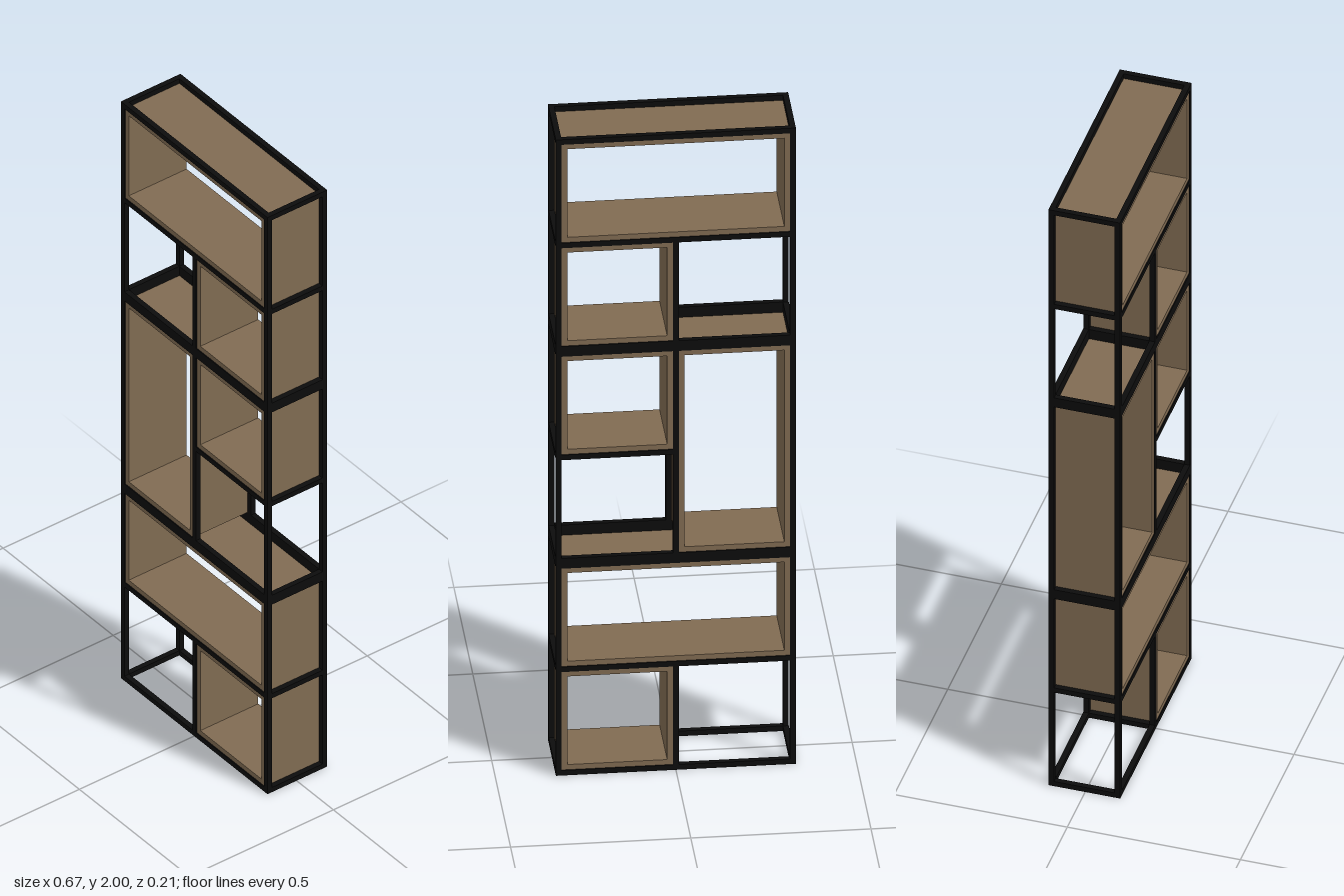
import * as THREE from 'three';

const W = 0.333, BACK = -0.106, FRONT = 0.101; // overall half width and depth limits
const T = 0.016;                               // square bar thickness
const WALL = 0.016;                            // wooden board thickness
const MODULE = 2 / 3;

const metal = new THREE.MeshStandardMaterial({ name: 'black metal', color: 0x0c0c0c });
const wood = new THREE.MeshStandardMaterial({ name: 'brown wood', color: 0x806b52 });

// Box given by its opposite corners
function block(parent, name, material, x0, x1, y0, y1, z0, z1) {
  const mesh = new THREE.Mesh(new THREE.BoxGeometry(x1 - x0, y1 - y0, z1 - z0), material);
  mesh.position.set((x0 + x1) / 2, (y0 + y1) / 2, (z0 + z1) / 2);
  mesh.name = name;
  parent.add(mesh);
}

// Pair of bars, one at the back and one at the front
function barPair(parent, name, x0, x1, y0, y1) {
  block(parent, name + 'Back', metal, x0, x1, y0, y1, BACK, BACK + T);
  block(parent, name + 'Front', metal, x0, x1, y0, y1, FRONT - T, FRONT);
}

// Horizontal rails around one level, joined by depth bars at the given x positions
function level(parent, name, x0, x1, y, depthBars) {
  barPair(parent, name + 'Rail', x0, x1, y, y + T);
  for (const x of depthBars)
    block(parent, name + 'DepthBar', metal, x, x + T, y, y + T, BACK + T, FRONT - T);
}

// Wooden sleeve, open at the front and the back
function sleeve(parent, x0, x1, y0, y1) {
  const shape = new THREE.Shape();
  shape.moveTo(x0, y0).lineTo(x1, y0).lineTo(x1, y1).lineTo(x0, y1).closePath();
  const hole = new THREE.Path();
  const a = x0 + WALL, b = x1 - WALL, c = y0 + WALL, d = y1 - WALL;
  hole.moveTo(a, c).lineTo(a, d).lineTo(b, d).lineTo(b, c).closePath();
  shape.holes.push(hole);
  const z0 = BACK + 0.003, z1 = FRONT - 0.003;
  const geometry = new THREE.ExtrudeGeometry(shape, { depth: z1 - z0, bevelEnabled: false });
  geometry.translate(0, 0, z0);
  const mesh = new THREE.Mesh(geometry, wood);
  mesh.name = 'woodenBox';
  parent.add(mesh);
}

export function createModel() {
  const model = new THREE.Group();
  model.name = 'shelvingUnit';
  const left = -W, right = W - T, mid = -T / 2;
  const inL = -W + T, inR = W - T, h = T / 2;

  for (let i = 0; i < 3; i++) {
    const module = new THREE.Group();
    module.name = ['lowerModule', 'middleModule', 'upperModule'][i];
    module.position.y = i * MODULE;
    model.add(module);

    const tall = i === 1;
    const midY = MODULE / 2 - h, topY = MODULE - T;

    // Outer frame
    level(module, 'bottom', -W, W, 0, tall ? [left, right] : [left, mid, right]);
    level(module, 'top', -W, W, topY, tall ? [left, mid, right] : [left, right]);
    barPair(module, 'leftPost', left, left + T, T, topY);
    barPair(module, 'rightPost', right, W, T, topY);

    // Inner divisions and wooden boxes
    if (tall) {
      barPair(module, 'middlePost', mid, mid + T, T, topY);
      level(module, 'middle', h, inR, midY, [mid]);
      block(module, 'middleDepthBar', metal, right, W, midY, midY + T, BACK + T, FRONT - T);
      sleeve(module, inL, -h, T, topY);
      sleeve(module, h, inR, midY + T, topY);
    } else {
      barPair(module, 'middlePost', mid, mid + T, T, midY);
      level(module, 'middle', inL, inR, midY, [left, mid, right]);
      sleeve(module, inL, inR, midY + T, topY);
      sleeve(module, h, inR, T, midY);
    }
  }
  return model;
}
